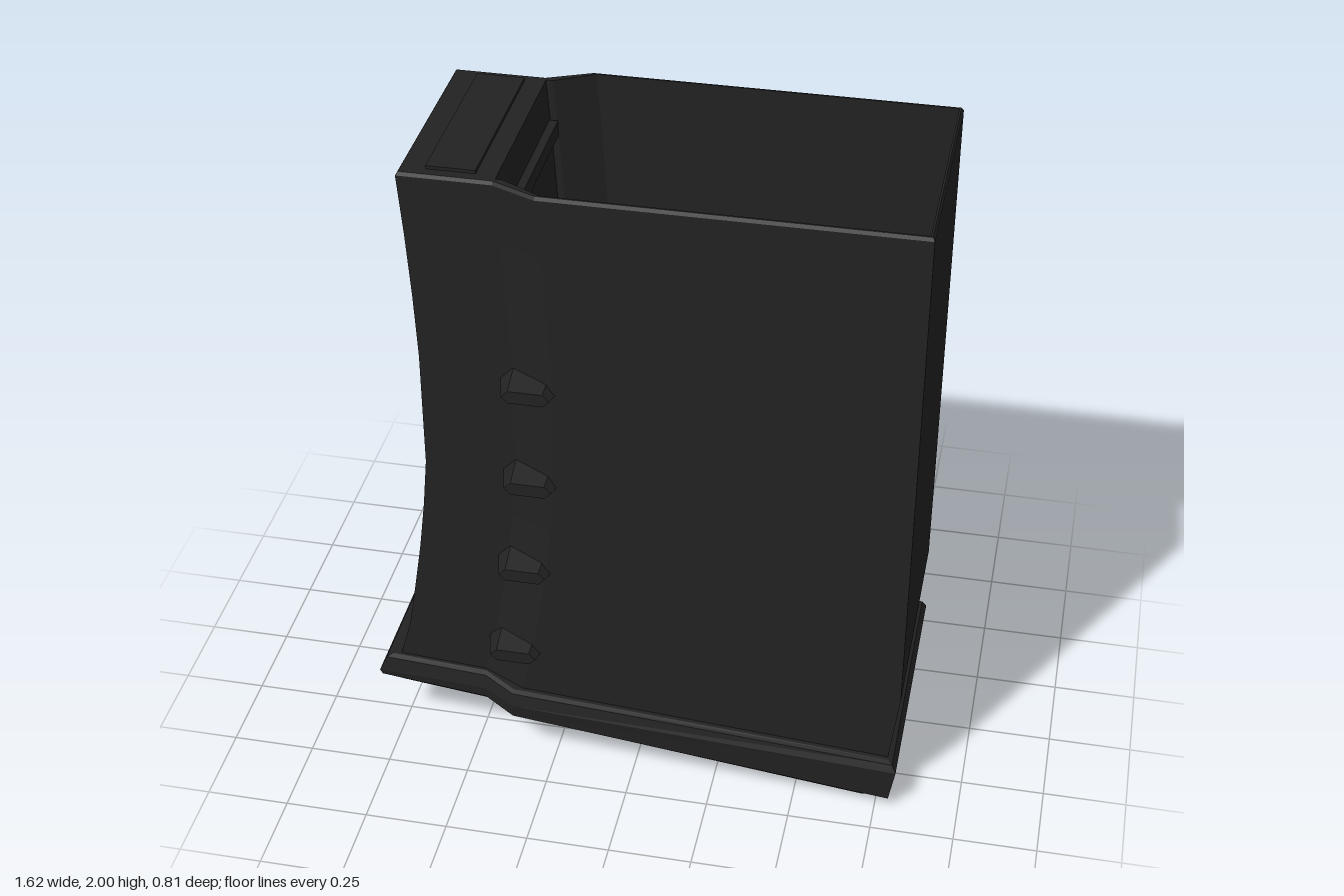
import * as THREE from 'three';

const dark = new THREE.MeshStandardMaterial({ color: 0x222222 });
dark.name = 'charcoal';

// Eight-point plan outline: narrow neck on -x, sloped shoulder, wide section on +x
function ring({ xL, xR, s1, s2, wN, wW, yL, yR = yL }) {
  const half = [[xL, wN], [s1, wN], [s2, wW], [xR, wW]];
  const y = (x) => yL + (yR - yL) * (x - xL) / (xR - xL);
  return [
    ...half.map(([x, z]) => [x, y(x), z]),
    ...half.slice().reverse().map(([x, z]) => [x, y(x), -z]),
  ];
}

// Faceted skin through successive outlines, closed at both ends
function loft(rings) {
  const pos = [];
  const quad = (a, b, c, d) => pos.push(...a, ...b, ...c, ...a, ...c, ...d);
  for (let r = 0; r < rings.length - 1; r++) {
    for (let i = 0; i < 8; i++) {
      const j = (i + 1) % 8;
      quad(rings[r][i], rings[r][j], rings[r + 1][j], rings[r + 1][i]);
    }
  }
  const first = rings[0], last = rings[rings.length - 1];
  for (let i = 0; i < 3; i++) {
    quad(last[i], last[i + 1], last[6 - i], last[7 - i]);
    quad(first[7 - i], first[6 - i], first[i + 1], first[i]);
  }
  const geo = new THREE.BufferGeometry();
  geo.setAttribute('position', new THREE.Float32BufferAttribute(pos, 3));
  geo.computeVertexNormals();
  return geo;
}

function add(parent, name, geo, x = 0, y = 0, z = 0) {
  const mesh = new THREE.Mesh(geo, dark);
  mesh.name = name;
  mesh.position.set(x, y, z);
  parent.add(mesh);
  return mesh;
}

// Curved neck edge: [y, x], and the wide edge on the other side
const neckEdge = [[0.26, -0.755], [0.4, -0.715], [0.55, -0.69], [0.71, -0.665], [0.87, -0.645],
  [1.03, -0.63], [1.4, -0.63], [1.6, -0.638], [1.8, -0.65], [1.98, -0.664]];

function outer([y, x], inset = 0) {
  return ring({
    xL: x + inset, xR: (y < 0.4 ? 0.775 : 0.805) - inset, s1: x + 0.27, s2: x + 0.4,
    wN: 0.31 - inset, wW: 0.367 - inset, yL: y, yR: y < 0.3 ? 0.14 : y,
  });
}

function inner([y, x]) {
  return ring({
    xL: x + 0.275, xR: y < 0.4 ? 0.76 : 0.793, s1: x + 0.295, s2: x + 0.41,
    wN: 0.292, wW: 0.355, yL: y, yR: y < 0.3 ? 0.19 : y,
  });
}

// Grip rib: elongated hexagon that narrows towards its outer face
function ribGeometry() {
  const section = (w, m, h, z) =>
    [[-w, 0], [-m, -h], [m, -h], [w, 0], [m, h], [-m, h]].map(([x, y]) => [x, y, z]);
  const back = section(0.098, 0.055, 0.045, 0), front = section(0.07, 0.05, 0.02, 0.105);
  const pos = [];
  for (let i = 0; i < 6; i++) {
    const j = (i + 1) % 6;
    pos.push(...back[i], ...back[j], ...front[j], ...back[i], ...front[j], ...front[i]);
    if (i > 0 && i < 5) pos.push(...front[0], ...front[i], ...front[i + 1]);
  }
  const geo = new THREE.BufferGeometry();
  geo.setAttribute('position', new THREE.Float32BufferAttribute(pos, 3));
  geo.computeVertexNormals();
  return geo;
}

export function createModel() {
  const model = new THREE.Group();
  model.name = 'taperedCase';

  // Hollow body: up the outside, over the rim, down the inside to the floor
  const top = neckEdge[neckEdge.length - 1];
  const rim = outer([1.99, top[1]], 0.006);
  add(model, 'hollowBody', loft([
    ...neckEdge.map((p) => outer(p)), rim,
    inner([1.99, top[1]]), ...neckEdge.slice().reverse().map(inner),
  ]));

  // Raised pad on the closed neck, and ledge on the cavity wall below it
  add(model, 'topPad', new THREE.BoxGeometry(0.14, 0.03, 0.55), -0.518, 1.985, 0);
  add(model, 'innerLedge', new THREE.BoxGeometry(0.06, 0.05, 0.57), -0.385, 1.84, 0);

  // Flared foot with bevelled upper and lower edges
  const foot = [
    // xL, xR, wN, wW, yL, yR
    [-0.72, 0.705, 0.305, 0.36, 0.165, 0.003],
    [-0.765, 0.75, 0.325, 0.385, 0.19, 0.032],
    [-0.805, 0.79, 0.343, 0.402, 0.212, 0.037],
    [-0.812, 0.808, 0.345, 0.405, 0.228, 0.145],
    [-0.79, 0.795, 0.335, 0.395, 0.275, 0.168],
    [-0.775, 0.78, 0.32, 0.38, 0.281, 0.174],
  ];
  add(model, 'foot', loft(foot.map(([xL, xR, wN, wW, yL, yR]) =>
    ring({ xL, xR, wN, wW, yL, yR, s1: -0.475, s2: -0.375 }))));

  // Four grip ribs on the shoulder of each side
  const rib = ribGeometry();
  const ribs = [[-0.3, 1.355], [-0.303, 1.035], [-0.33, 0.715], [-0.368, 0.4]];
  for (const [x, y] of ribs) {
    add(model, 'leftGripRib', rib, x, y, 0.295);
    add(model, 'rightGripRib', rib, x, y, -0.295).rotation.y = Math.PI;
  }
  return model;
}
